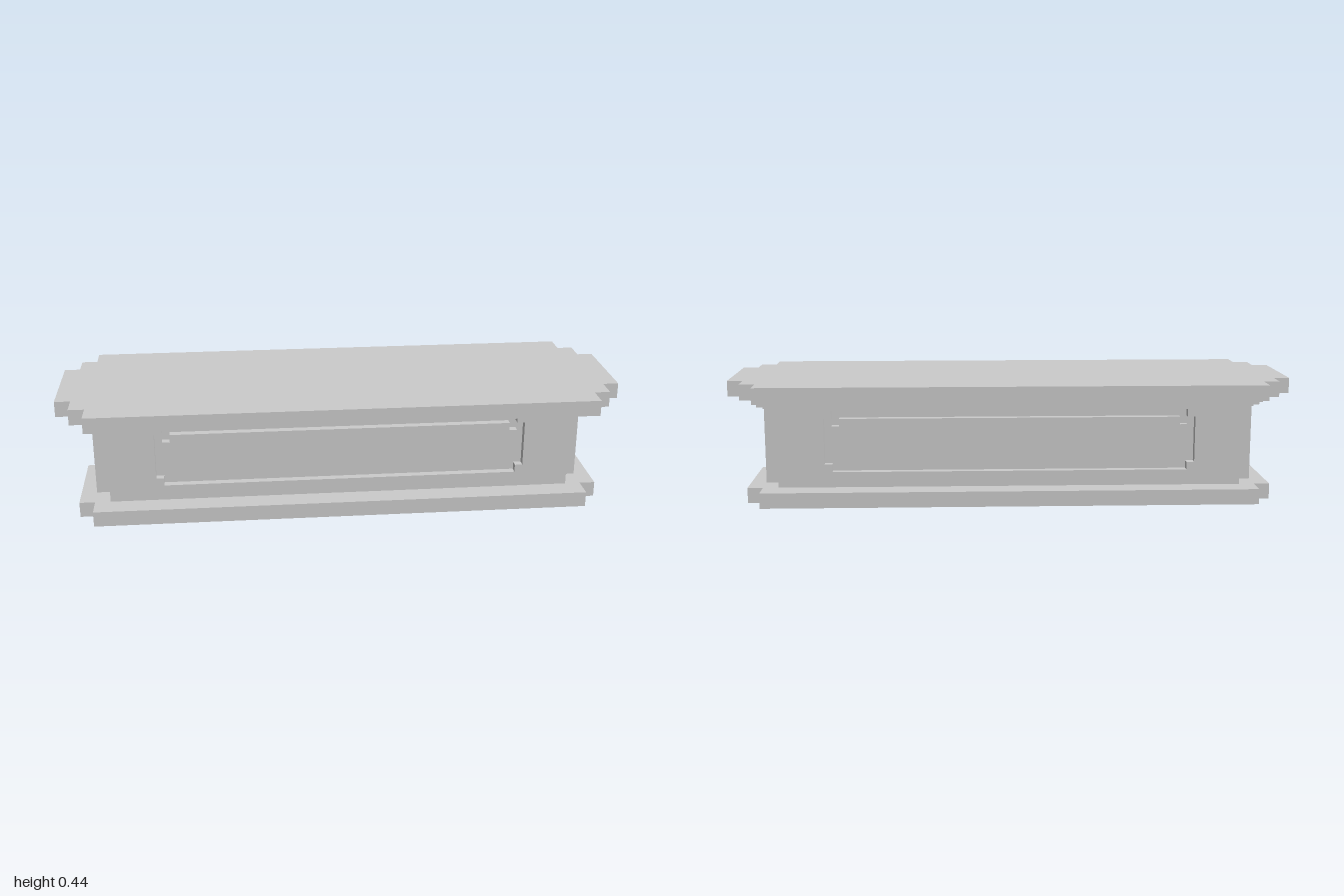
import * as THREE from 'three';

const U = 1 / 36; // grid step; all sizes below are counted in it
const material = new THREE.MeshStandardMaterial({ color: 0xcccccc, flatShading: true });

function addMesh(parent, name, geometry) {
  const mesh = new THREE.Mesh(geometry, material);
  mesh.name = name;
  parent.add(mesh);
  return mesh;
}

// Box given by its lower and upper corners
function addBox(parent, name, [x0, y0, z0], [x1, y1, z1]) {
  const mesh = addMesh(parent, name, new THREE.BoxGeometry((x1 - x0) * U, (y1 - y0) * U, (z1 - z0) * U));
  mesh.position.set((x0 + x1) * U / 2, (y0 + y1) * U / 2, (z0 + z1) * U / 2);
  return mesh;
}

// Symmetric outline with stepped corners; steps run from widest to tallest
function steppedPoints(steps, cy = 0) {
  const quarter = [];
  steps.forEach(([x, y], i) => {
    if (i > 0) quarter.push([x, steps[i - 1][1]]);
    quarter.push([x, y]);
  });
  const back = [...quarter].reverse();
  return [
    ...quarter,
    ...back.map(([x, y]) => [-x, y]),
    ...quarter.map(([x, y]) => [-x, -y]),
    ...back.map(([x, y]) => [x, -y]),
  ].map(([x, y]) => new THREE.Vector2(x * U, (y + cy) * U));
}

function extrude(shape, depth) {
  return new THREE.ExtrudeGeometry(shape, { depth: depth * U, bevelEnabled: false });
}

// Horizontal slab with a stepped plan
function addSlab(parent, name, steps, y0, height) {
  const geometry = extrude(new THREE.Shape(steppedPoints(steps)), height);
  geometry.rotateX(-Math.PI / 2);
  addMesh(parent, name, geometry).position.y = y0 * U;
}

// Body face: a stepped groove surrounding a flush panel
function makeFace() {
  const face = new THREE.Group();
  const wall = new THREE.Shape([[-30, 2], [30, 2], [30, 14], [-30, 14]]
    .map(([x, y]) => new THREE.Vector2(x * U, y * U)));
  wall.holes.push(new THREE.Path(steppedPoints([[24, 3], [23, 4]], 8)));
  const panel = new THREE.Shape(steppedPoints([[23, 2], [22, 3]], 8));
  addMesh(face, 'faceSurround', extrude(wall, 1));
  addMesh(face, 'facePanel', extrude(panel, 1));
  face.position.z = 5 * U;
  return face;
}

// Bracket under the top, its lower outer corners notched
function addBracket(parent, side, x, halfZ) {
  const bracket = new THREE.Group();
  bracket.name = 'endBracket';
  const piece = (name, xa, xb, y0, y1, z0, z1) => addBox(bracket, name,
    [Math.min(side * xa, side * xb), y0, z0], [Math.max(side * xa, side * xb), y1, z1]);
  piece('bracketUpper', x, x + 2, 13, 14, -halfZ, halfZ);
  piece('bracketLower', x, x + 1, 12, 13, -halfZ, halfZ);
  piece('bracketLip', x + 1, x + 2, 12, 13, -halfZ + 2, halfZ - 1);
  parent.add(bracket);
}

export function createModel() {
  const model = new THREE.Group();
  model.name = 'bench';

  addSlab(model, 'base', [[34, 6], [32, 9]], 0, 2);
  addSlab(model, 'top', [[36, 6], [34, 9], [32, 12]], 14, 2);

  // Body core, with grooved faces front and back
  addBox(model, 'bodyCore', [-30, 2, -5], [30, 14, 5]);
  for (const [name, angle] of [['frontFace', 0], ['backFace', Math.PI]]) {
    const holder = new THREE.Group();
    holder.name = name;
    holder.add(makeFace());
    holder.rotation.y = angle;
    model.add(holder);
  }

  // Narrow end pilasters and the two bracket tiers
  for (const side of [-1, 1]) {
    addBox(model, 'endPilaster', [side > 0 ? 30 : -32, 2, -3], [side > 0 ? 32 : -30, 14, 3]);
    addBracket(model, side, 30, 6);
    addBracket(model, side, 32, 3);
  }
  return model;
}
